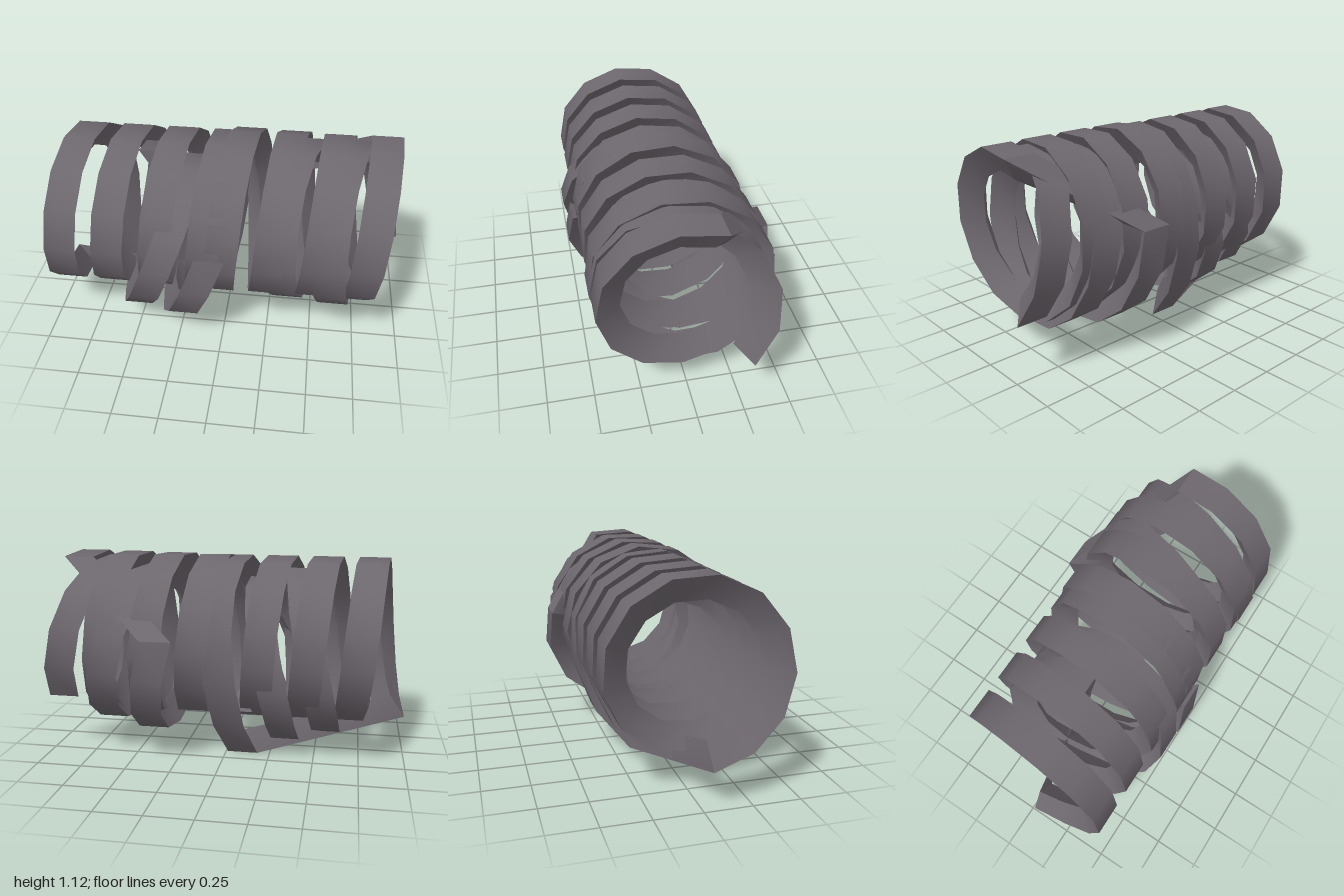
import * as THREE from 'three';

const STEPS = 13; // facets per turn
const metal = new THREE.MeshStandardMaterial({ color: 0x6d676e, side: THREE.DoubleSide });
metal.name = 'dull grey';

// Triangular section: wide flat outer face, ridge pointing to the axis.
// shear and lean tip the coil sideways; rise and drift move its axis per turn.
function section({ x, y, z, r, pitch, from, shear = 0, lean = 0, rise = 0, drift = 0, half = 0.085 }, turn) {
  const a = turn * Math.PI * 2;
  const s = Math.sin(a), c = -Math.cos(a);
  const cx = x + pitch * turn + shear * c + lean * s;
  const cy = y + rise * (turn - from);
  const cz = z + drift * (turn - from);
  const point = (dx, d) => new THREE.Vector3(cx + dx, cy + d * c, cz + d * s);
  return [point(-half, r), point(half, r), point(0, r - 0.13)];
}

// Skin three smooth sides with sharp edges between them, plus end caps
function strand(name, rings, caps = true) {
  const pos = [], idx = [];
  for (let side = 0; side < 3; side++) {
    const base = pos.length / 3;
    for (const ring of rings) pos.push(...ring[side].toArray(), ...ring[(side + 1) % 3].toArray());
    for (let i = 0; i < rings.length - 1; i++) {
      const p = base + i * 2;
      idx.push(p, p + 1, p + 2, p + 1, p + 3, p + 2);
    }
  }
  if (caps) {
    for (const [ring, order] of [[rings[0], [0, 2, 1]], [rings[rings.length - 1], [0, 1, 2]]]) {
      const base = pos.length / 3;
      for (const i of order) pos.push(...ring[i].toArray());
      idx.push(base, base + 1, base + 2);
    }
  }
  const geo = new THREE.BufferGeometry();
  geo.setAttribute('position', new THREE.Float32BufferAttribute(pos, 3));
  geo.setIndex(idx);
  geo.computeVertexNormals();
  const mesh = new THREE.Mesh(geo, metal);
  mesh.name = name;
  return mesh;
}

function coilRings(coil) {
  const n = Math.round((coil.to - coil.from) * STEPS);
  const rings = [];
  for (let i = 0; i <= n; i++) rings.push(section(coil, coil.from + (coil.to - coil.from) * i / n));
  return rings;
}

export function createModel() {
  const group = new THREE.Group();

  // Right half of the spring, ending just behind the top
  const right = coilRings({ x: -0.055, pitch: 0.253, y: 0.66, z: 0.012, r: 0.466, from: -0.1, to: 3.55 });
  group.add(strand('rightCoil', right));

  // Loose coil pushed back through the right half, ending low at the back
  const looseRight = coilRings({
    x: 0.33, pitch: 0.26, shear: -0.06, lean: -0.08, y: 0.575, rise: 0.032,
    z: -0.07, drift: 0.058, r: 0.465, from: -0.3, to: 1.87,
  });
  group.add(strand('looseRightCoil', looseRight));

  // Straight bar from the end of the right half to the loose coil
  group.add(strand('upperJoiningBar', [right[right.length - 1], looseRight[0]], false));

  // Left half; the tail sags down at the back
  const left = coilRings({ x: -0.92, pitch: 0.255, y: 0.655, z: 0.015, r: 0.457, from: 0.01, to: 3.94 });
  const sag = [0.08, 0.3, 0.6, 1];
  sag.forEach((f, i) => {
    for (const p of left[left.length - sag.length + i]) p.add(new THREE.Vector3(-0.18 * f, -0.23 * f, 0));
  });
  group.add(strand('leftCoil', left, false));

  // Straight bar joining the sagging tail to the first turn
  group.add(strand('lowerJoiningBar', [left[left.length - 1], left[0]], false));

  // Loose slanted coil, low at the front left
  group.add(strand('looseLeftCoil', coilRings({
    x: -0.19, pitch: 0.23, shear: 0.13, lean: 0.02, y: 0.585, rise: -0.06,
    z: 0.07, r: 0.455, half: 0.08, from: -1.5, to: 0.31,
  })));

  return group;
}
